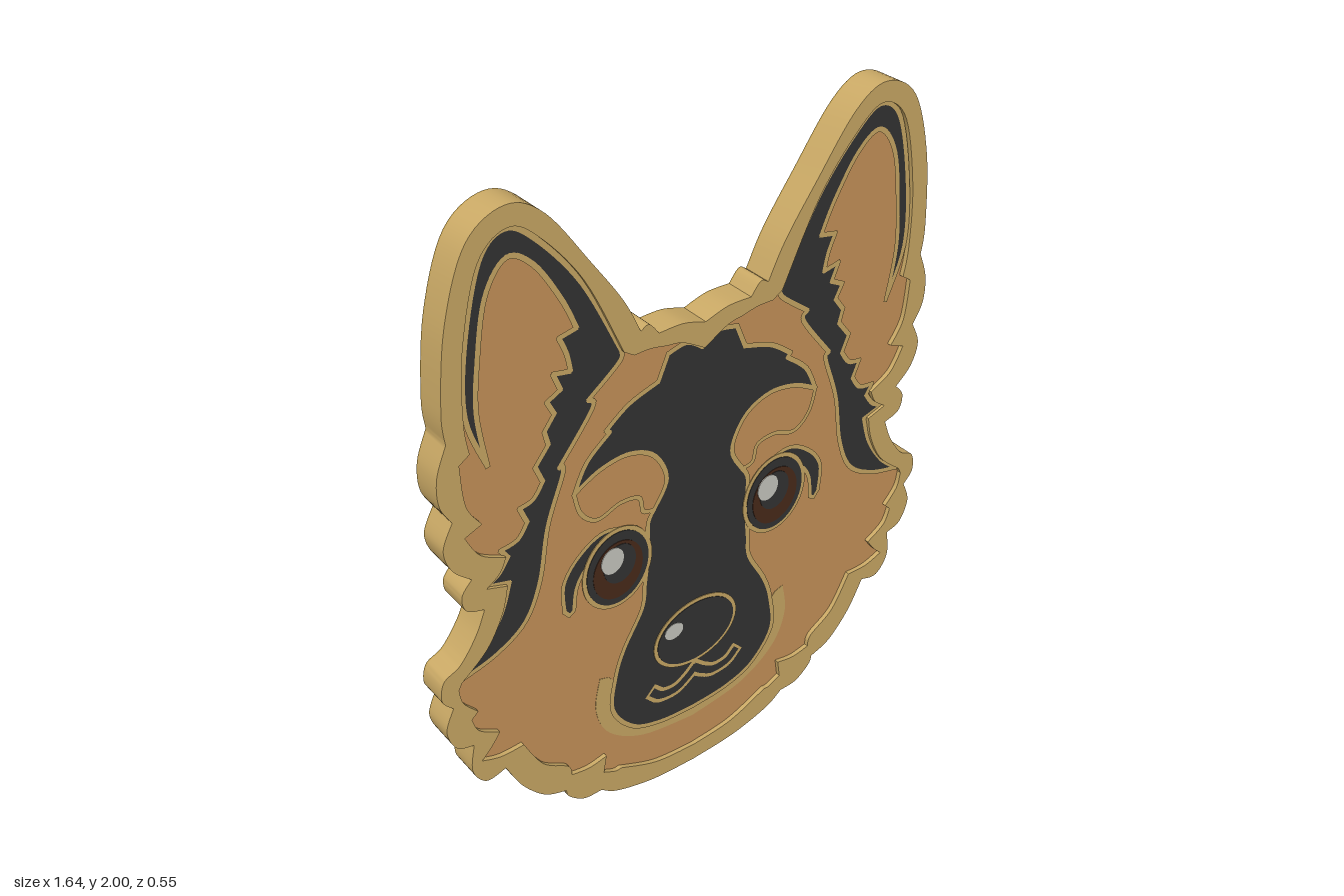
import * as THREE from 'three';
import { toCreasedNormals } from 'three/addons/utils/BufferGeometryUtils.js';

const material = (name, color, side = THREE.FrontSide) => {
  const m = new THREE.MeshStandardMaterial({ color, side });
  m.name = name;
  return m;
};

// Joins splines; each inner array is one smooth run, runs meet at sharp corners. Units are 0.01.
function trace(runs) {
  const pts = [];
  let last = null;
  for (const run of runs) {
    const knots = (last ? [last, ...run] : run).map(([x, y]) => new THREE.Vector2(x / 100, y / 100));
    const part = knots.length > 2 ? new THREE.SplineCurve(knots).getPoints((knots.length - 1) * 7) : knots;
    pts.push(...(last ? part.slice(1) : part));
    last = run[run.length - 1];
  }
  return pts;
}
const flip = (pts) => pts.map((p) => new THREE.Vector2(-p.x, p.y)).reverse();
// Completes a half outline that starts and ends on the middle line
const symmetric = (half) => [...half, ...flip(half).slice(1, -1)];
const ellipse = (x, y, rx, ry) =>
  new THREE.EllipseCurve(x / 100, y / 100, rx / 100, ry / 100).getPoints(40).slice(0, -1);

export function createModel() {
  const group = new THREE.Group();
  const gold = material('gold', 0xcbaa66);
  const brass = material('brass', 0xbf9d4c);
  const tan = material('tan', 0xc9945a);
  const black = material('black', 0x333333);
  const brown = material('dark brown', 0x4a2a1a);
  const white = material('soft white', 0xcacac2);

  const add = (name, geometry, mat) => {
    const mesh = new THREE.Mesh(geometry, mat);
    mesh.name = name;
    group.add(mesh);
    return mesh;
  };

  // Flat plate whose front lies at z = top
  const plate = (name, pts, top, mat, depth = 0.002, hole = null) => {
    const shape = new THREE.Shape(pts);
    if (hole) shape.holes.push(new THREE.Path(hole));
    const geo = new THREE.ExtrudeGeometry(shape, { depth, bevelEnabled: false });
    geo.translate(0, 0, top - depth);
    return add(name, toCreasedNormals(geo, 0.6), mat);
  };

  // Flat ribbon along a line
  const ribbon = (name, pts, width, z, mat, closed = false) => {
    const pos = [];
    const h = width / 2;
    const count = closed ? pts.length : pts.length - 1;
    for (let i = 0; i < count; i++) {
      const a = pts[i], b = pts[(i + 1) % pts.length];
      const d = b.clone().sub(a);
      if (d.length() < 1e-5) continue;
      d.setLength(h);
      const e = d.clone().multiplyScalar(0.6);
      const corner = (p, s, t) => [p.x + e.x * t - d.y * s, p.y + e.y * t + d.x * s, z];
      const q = [corner(a, -1, -1), corner(b, -1, 1), corner(b, 1, 1), corner(a, 1, -1)];
      for (const k of [0, 1, 2, 0, 2, 3]) pos.push(...q[k]);
    }
    const geo = new THREE.BufferGeometry();
    geo.setAttribute('position', new THREE.Float32BufferAttribute(pos, 3));
    geo.computeVertexNormals();
    return add(name, geo, mat);
  };

  // Scalloped outer edge
  const outline = symmetric(trace([
    [[0, 0], [15, 1], [28, 4.5], [34, 8.5]],
    [[40, 9], [45, 13], [46, 16]],
    [[53, 19], [60, 27], [65, 37]],
    [[71, 36], [75, 42], [74, 51]],
    [[79, 53], [81.5, 60], [79, 67]],
    [[82, 71], [81, 77], [76, 80], [71, 87], [68, 94]],
    [[73, 96], [74, 101], [71, 105]],
    [[76, 110], [78, 117], [75, 124]],
    [[78, 130], [78, 138], [75, 146]],
    [[75.5, 155], [73, 176], [66.5, 194], [56, 200], [46, 195], [34, 179], [25, 166], [20, 156]],
    [[17.5, 157], [14.5, 153.5]],
    [[7, 153.5], [0, 151.5]],
  ]));

  // Inner edge of the raised rim
  const inner = symmetric(trace([
    [[0, 6], [14, 7.5], [27, 13]], [[29, 13], [33, 15]], [[32, 21]],
    [[38, 20], [44, 21]], [[45, 25], [53, 31], [59, 42]],
    [[66, 42], [72, 44]], [[69, 47], [66, 51]],
    [[72, 55], [74, 60]], [[72, 62]], [[76, 67], [77, 72]], [[76, 74]],
    [[68, 81], [63, 90], [61, 98]], [[67, 100]], [[63, 103], [61, 107]],
    [[68, 111], [72, 118]], [[67, 120]], [[71, 127], [72, 139]], [[69, 141]],
    [[70, 150], [69, 168], [64, 188], [56, 194.5], [48, 190], [36, 175], [25, 152]],
    [[22, 150]], [[17, 150], [12, 149]], [[7, 148], [0, 144]],
  ]));

  plate('rim', outline, 0.275, gold, 0.083, inner);
  plate('backPlate', outline, 0.192, brass, 0.004);
  plate('furPanel', inner, 0.262, tan, 0.07);

  // Gold band under the muzzle
  plate('muzzleBand', symmetric(trace([
    [[0, 17], [18, 20], [30, 28], [34.5, 39], [33, 50]], [[30, 49]], [[27, 45]], [[0, 45]],
  ])), 0.263, gold);

  // Dark face mask with brow cut-outs
  const mask = symmetric(trace([
    [[0, 144], [5, 147], [11, 146]], [[14, 139]],
    [[23, 136], [30, 131]], [[29, 130]], [[36, 124], [40, 116]],
    [[32, 120], [23, 121], [15, 117], [11, 108], [15, 100]],
    [[17, 96], [17, 86], [18, 76], [19, 68], [25, 57], [28, 48], [29, 36], [22, 26], [12, 22], [0, 21]],
  ]));
  plate('faceMask', mask, 0.265, black);
  ribbon('faceMaskLine', mask, 0.014, 0.2665, gold, true);

  // Dark ear edge running down into the cheek
  const earPatch = trace([
    [[64, 135], [69, 150], [68, 168], [63, 188], [56, 194], [48, 189], [36, 174], [25, 152]],
    [[26, 149], [35, 142]], [[34, 139], [44, 126]], [[43, 124], [48, 110], [51, 94], [56, 83], [65, 77], [76, 74]],
    [[69, 80], [63, 89], [60, 98]], [[67, 100]], [[63, 102], [60, 106]], [[62, 109]],
    [[57, 110], [54, 114]], [[56, 119]], [[52, 120], [49, 124]], [[51, 129]], [[47, 134]],
    [[48, 138]], [[45, 142]], [[47, 146]], [[43, 148]], [[45, 153]], [[40, 152]],
    [[41, 157], [43, 162]], [[38, 163]],
    [[42, 172], [49, 183], [56, 187], [62, 179], [65, 163], [66, 150], [64, 135]],
  ]).slice(0, -1);
  const lash = trace([
    [[44, 80], [44, 89], [39, 96], [31, 100], [21, 97]],
    [[31, 96], [37, 91], [40, 86], [41, 79]], [[42.5, 78]],
  ]);
  const browHook = trace([[[15, 100], [18.5, 101], [20, 106], [26, 107], [33, 105], [38, 109], [40, 116]]]);

  for (const [side, place] of [['left', (p) => p], ['right', flip]]) {
    const s = side === 'left' ? 1 : -1;
    plate(side + 'EarPatch', place(earPatch), 0.265, black);
    ribbon(side + 'EarPatchLine', place(earPatch), 0.014, 0.2665, gold, true);
    plate(side + 'Lash', place(lash), 0.265, black);
    ribbon(side + 'LashLine', place(lash), 0.012, 0.2665, gold, true);
    ribbon(side + 'BrowLine', place(browHook), 0.013, 0.2665, gold);

    // Eye, stacked from the gold ring up to the highlight
    plate(side + 'EyeRing', ellipse(s * 27, 86.5, 11.3, 13), 0.268, gold);
    plate(side + 'Eye', ellipse(s * 27, 86.5, 10, 11.7), 0.2695, black);
    plate(side + 'Iris', ellipse(s * 27, 86, 8, 9.2), 0.271, brown);
    plate(side + 'Pupil', ellipse(s * 26.6, 88, 5.2, 6.2), 0.2725, black);
    plate(side + 'EyeHighlight', ellipse(s * 26.5 - 2.5, 90, 3.6, 4.1), 0.274, white);
  }

  // Nose
  plate('noseRing', ellipse(0, 50.5, 14.8, 11.6), 0.268, gold);
  plate('nose', ellipse(0, 50.5, 13.6, 10.4), 0.2695, black);
  plate('noseHighlight', ellipse(-8, 54.5, 3.2, 2.7), 0.271, white);

  // Mouth: a gold line with a dark centre
  const smile = trace([[[15, 35], [12, 32.5], [7, 32], [3, 34], [0, 36.5]]]);
  const mouth = [...smile, ...flip(smile).slice(1)];
  ribbon('mouthLine', mouth, 0.05, 0.2675, gold);
  ribbon('mouthStem', trace([[[0, 40], [0, 36]]]), 0.014, 0.2675, gold);
  ribbon('mouth', mouth, 0.026, 0.2685, black);

  // Pin post and tapered clutch behind
  const post = add('post', new THREE.CylinderGeometry(0.028, 0.028, 0.47, 24).rotateX(Math.PI / 2), brass);
  post.position.set(0, 0.93, -0.04);
  const clutch = add('clutch', new THREE.CylinderGeometry(0.22, 0.25, 0.155, 64).rotateX(Math.PI / 2), black);
  clutch.position.set(0, 0.93, -0.152);

  return group;
}
